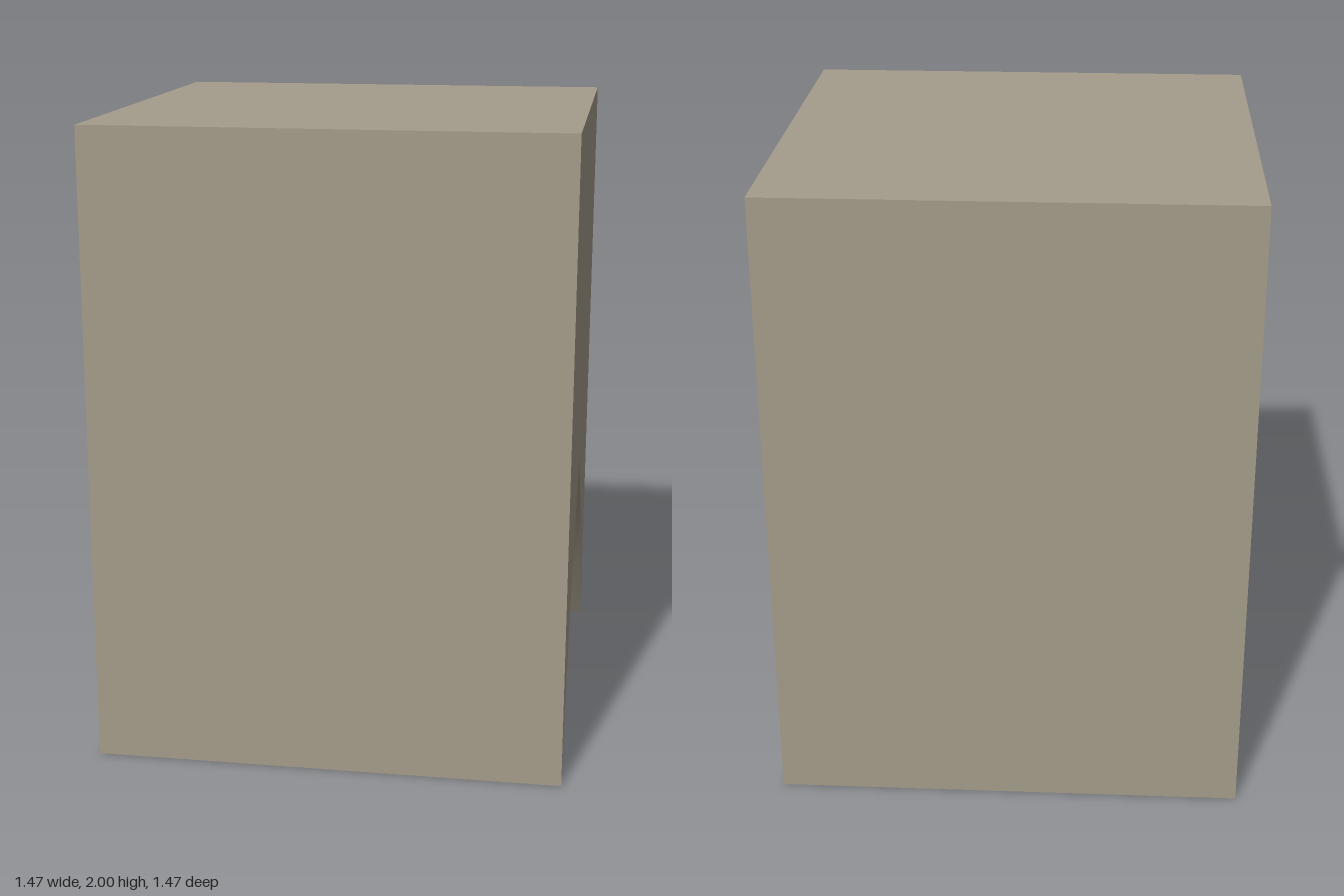
import * as THREE from 'three';
import { toCreasedNormals } from 'three/addons/utils/BufferGeometryUtils.js';

export function createModel() {
  const group = new THREE.Group();
  group.name = 'archedBlock';

  const stone = new THREE.MeshStandardMaterial({ color: 0xa49c8a });
  stone.name = 'warm grey stone';

  const half = 0.735, height = 2;

  // One side of the pointed arch, from the foot up towards the ridge
  const arch = [[half, 0], [0.57, 0.27], [0.335, 0.55], [0.04, 0.80]];
  const mirrored = arch.map(([z, y]) => [-z, y]).reverse();

  // Side profile: square top, pointed arch cut out of the underside
  const profile = new THREE.Shape(
    [[half, height], [-half, height], ...mirrored.reverse(), [0, 0.835], ...arch.reverse()]
      .map(([z, y]) => new THREE.Vector2(z, y))
  );

  // Extruded across the full width; the arch curve stays smooth, corners sharp
  const geometry = new THREE.ExtrudeGeometry(profile, { depth: 2 * half, bevelEnabled: false });
  geometry.translate(0, 0, -half);
  geometry.rotateY(Math.PI / 2);

  const block = new THREE.Mesh(toCreasedNormals(geometry, Math.PI / 6), stone);
  block.name = 'blockWithArchedUnderside';
  group.add(block);
  return group;
}
